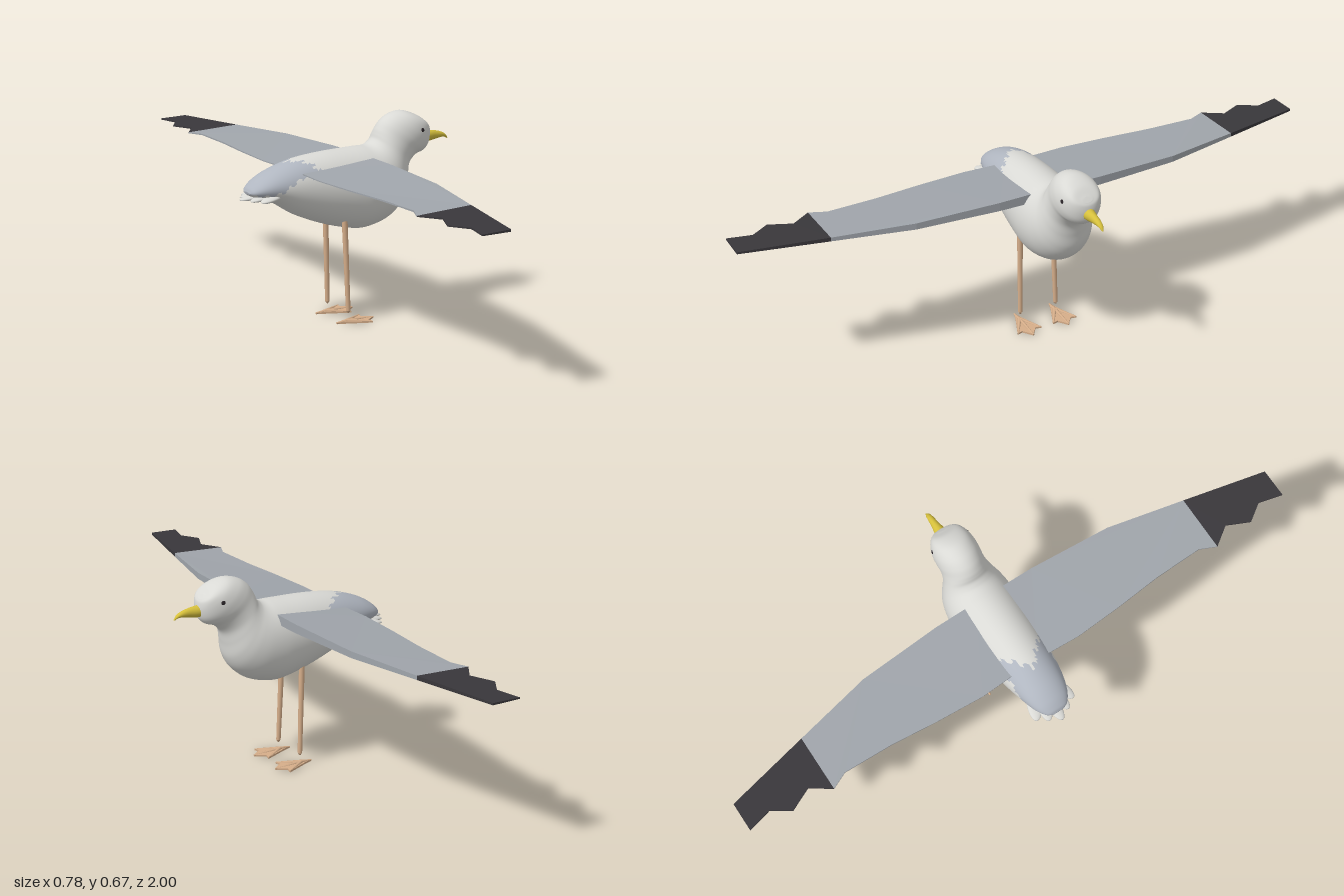
import * as THREE from 'three';

const mat = (name, color) => {
  const m = new THREE.MeshStandardMaterial({ color });
  m.name = name;
  return m;
};

// Smooth loft through rings [topX, topY, bottomX, bottomY, halfWidth].
// pick(x, y, z) gives the material index of each face.
function loft(rings, steps, sides, pick = () => 0) {
  const curve = f => new THREE.CatmullRomCurve3(rings.map(f), false, 'catmullrom', 0.5);
  const tops = curve(r => new THREE.Vector3(r[0], r[1], r[4]));
  const bottoms = curve(r => new THREE.Vector3(r[2], r[3], 0));
  const pos = [], lists = [[], []];
  for (let i = 0; i <= steps; i++) {
    const t = tops.getPoint(i / steps), b = bottoms.getPoint(i / steps);
    for (let j = 0; j < sides; j++) {
      const a = (j / sides) * Math.PI * 2, k = (1 + Math.cos(a)) / 2;
      pos.push(b.x + (t.x - b.x) * k, b.y + (t.y - b.y) * k, t.z * Math.sin(a));
    }
  }
  const face = (...v) => {
    const c = [0, 1, 2].map(n => v.reduce((s, q) => s + pos[q * 3 + n], 0) / 3);
    lists[pick(...c)].push(...v);
  };
  for (let i = 0; i < steps; i++) for (let j = 0; j < sides; j++) {
    const a = i * sides + j, b = i * sides + (j + 1) % sides;
    face(a, b, a + sides);
    face(b, b + sides, a + sides);
  }
  // end caps
  const last = steps * sides;
  for (let j = 1; j < sides - 1; j++) {
    face(0, j + 1, j);
    face(last, last + j, last + j + 1);
  }
  const g = new THREE.BufferGeometry();
  g.setAttribute('position', new THREE.Float32BufferAttribute(pos, 3));
  g.setIndex([...lists[0], ...lists[1]]);
  g.addGroup(0, lists[0].length, 0);
  g.addGroup(lists[0].length, lists[1].length, 1);
  g.computeVertexNormals();
  return g;
}

// Plate from an outline of [x, z], with top and bottom heights given by rules.
function plate(outline, top, bottom) {
  const shape = new THREE.Shape(outline.map(([x, z]) => new THREE.Vector2(x, -z)));
  const g = new THREE.ExtrudeGeometry(shape, { depth: 1, bevelEnabled: false });
  g.rotateX(-Math.PI / 2);
  const p = g.attributes.position;
  for (let i = 0; i < p.count; i++) {
    const rule = p.getY(i) > 0.5 ? top : bottom;
    p.setY(i, rule(p.getX(i), p.getZ(i)));
  }
  g.computeVertexNormals();
  return g;
}

// Tapered rod between two points.
function rod(a, b, ra, rb, sides = 12) {
  const dir = b.clone().sub(a);
  const g = new THREE.CylinderGeometry(rb, ra, dir.length(), sides);
  g.applyQuaternion(new THREE.Quaternion().setFromUnitVectors(new THREE.Vector3(0, 1, 0), dir.normalize()));
  return g.translate((a.x + b.x) / 2, (a.y + b.y) / 2, (a.z + b.z) / 2);
}

export function createModel() {
  const model = new THREE.Group();
  model.name = 'seabird';
  const white = mat('whitePlumage', 0xd9d9d5), mantle = mat('mantleGrey', 0xb0b6c0);
  const wingGrey = mat('wingGrey', 0xa0a5ab), tipDark = mat('wingTipDark', 0x39373b);
  const yellow = mat('beakYellow', 0xd6c03c), tan = mat('legTan', 0xd6ae8a);
  const rim = mat('eyeRim', 0xc8976a), dark = mat('pupilDark', 0x2a2428);
  const add = (name, geo, material, parent = model) => {
    const m = new THREE.Mesh(geo, material);
    m.name = name;
    parent.add(m);
    return m;
  };
  const V = (x, y, z) => new THREE.Vector3(x, y, z);

  // Body, neck and head in one skin, with a ragged grey saddle at the rear
  const saddle = (x, y, z) => {
    const front = -0.225 + Math.abs(z) * 1.1 + 0.012 * Math.sin(z * 260);
    const low = 0.452 + 0.05 * THREE.MathUtils.smoothstep(x, -0.31, -0.2) + 0.006 * Math.sin(x * 190);
    return x < front && y > low ? 1 : 0;
  };
  add('body', loft([
    [-0.367, 0.463, -0.366, 0.455, 0.02],
    [-0.358, 0.477, -0.352, 0.445, 0.04],
    [-0.33, 0.5, -0.32, 0.433, 0.06],
    [-0.28, 0.525, -0.27, 0.413, 0.076],
    [-0.2, 0.549, -0.2, 0.37, 0.09],
    [-0.1, 0.561, -0.1, 0.329, 0.103],
    [0, 0.565, 0, 0.302, 0.112],
    [0.04, 0.566, 0.06, 0.299, 0.114],
    [0.065, 0.566, 0.13, 0.319, 0.111],
    [0.08, 0.569, 0.18, 0.357, 0.103],
    [0.09, 0.575, 0.205, 0.4, 0.093],
    [0.1, 0.585, 0.213, 0.45, 0.083],
    [0.106, 0.6, 0.222, 0.49, 0.075],
    [0.114, 0.617, 0.248, 0.517, 0.071],
    [0.132, 0.64, 0.28, 0.529, 0.072],
    [0.162, 0.659, 0.298, 0.547, 0.07],
    [0.205, 0.667, 0.305, 0.575, 0.061],
    [0.252, 0.652, 0.303, 0.6, 0.045],
    [0.284, 0.626, 0.297, 0.612, 0.016],
  ], 144, 64, saddle), [white, mantle]);

  // Hooked beak
  add('beak', loft([
    [0.29, 0.594, 0.29, 0.552, 0.021],
    [0.31, 0.591, 0.31, 0.554, 0.018],
    [0.335, 0.588, 0.335, 0.558, 0.013],
    [0.362, 0.581, 0.36, 0.562, 0.01],
    [0.379, 0.571, 0.375, 0.562, 0.007],
    [0.389, 0.558, 0.386, 0.556, 0.002],
  ], 30, 20), [yellow, yellow]);

  // Tail fan of flattened feathers
  const tail = new THREE.Group();
  tail.name = 'tail';
  model.add(tail);
  for (const k of [-2, -1, 0, 1, 2]) {
    const g = new THREE.SphereGeometry(1, 24, 12);
    g.scale(0.075 - 0.006 * Math.abs(k), 0.009, 0.024).rotateZ(0.12).rotateY(k * 0.22);
    g.translate(-0.317 + 0.012 * Math.abs(k), 0.447 - 0.001 * Math.abs(k), k * 0.022);
    add('tailFeather', g, white, tail);
  }

  // Wing outlines: grey inner part and notched dark tip
  const inner = [[0.055, 0.03], [0.055, 0.18], [0.038, 0.46], [-0.017, 0.72], [-0.205, 0.72],
    [-0.18, 0.665], [-0.185, 0.5], [-0.2, 0.34], [-0.21, 0.18], [-0.203, 0.03]];
  const tip = [[-0.017, 0.72], [-0.078, 1], [-0.175, 1], [-0.155, 0.92], [-0.195, 0.86],
    [-0.16, 0.785], [-0.205, 0.72]];
  const chord = x => (x + 0.21) / 0.265;
  const wingTop = (x, z) => 0.514 + chord(x) * (0.008 + 0.016 * (1 - Math.abs(z)));
  const wingBottom = (x, z) => 0.511 - chord(x) * 0.006 * (1 - Math.abs(z));

  for (const s of [1, -1]) {
    const side = s > 0 ? 'left' : 'right';
    const mirror = pts => pts.map(([x, z]) => [x, z * s]);
    const wing = new THREE.Group();
    wing.name = side + 'Wing';
    model.add(wing);
    add('innerWing', plate(mirror(inner), wingTop, wingBottom), wingGrey, wing);
    add('wingTip', plate(mirror(tip), wingTop, wingBottom), tipDark, wing);

    // Eye: rim with a pupil, facing out from the head
    const eye = new THREE.Group();
    eye.name = side + 'Eye';
    eye.position.set(0.247, 0.607, 0.06 * s);
    eye.quaternion.setFromUnitVectors(V(0, 0, 1), V(4.6, 2.4, 12.4 * s).normalize());
    model.add(eye);
    add('eyeRim', new THREE.SphereGeometry(0.0135, 24, 16).scale(1, 1, 0.45), rim, eye);
    add('pupil', new THREE.SphereGeometry(0.0085, 20, 12).scale(1, 1, 0.5), dark, eye).position.z = 0.0035;

    // Leg with a pointed lower end
    const leg = new THREE.Group();
    leg.name = side + 'Leg';
    model.add(leg);
    const ankle = V(-0.035, 0.043, 0.066 * s);
    add('shank', rod(ankle, V(-0.045, 0.345, 0.06 * s), 0.0075, 0.0095), tan, leg);
    add('ankle', rod(V(-0.035, 0.035, 0.066 * s), ankle, 0.003, 0.0075), tan, leg);

    // Webbed foot: thin web with raised toes
    const foot = new THREE.Group();
    foot.name = side + 'Foot';
    foot.position.set(-0.035, 0, 0.066 * s);
    model.add(foot);
    const web = [[-0.043, 0], [-0.01, 0.012], [0.066, 0.044], [0.062, 0.024], [0.095, 0],
      [0.062, -0.024], [0.066, -0.044], [-0.01, -0.012]];
    add('web', plate(web, () => 0.009, () => 0.003), tan, foot);
    for (const [x, z] of [[0.066, 0.042], [0.095, 0], [0.066, -0.042], [-0.044, 0]])
      add('toe', rod(V(-0.005, 0.009, 0), V(x, 0.007, z), 0.007, 0.003, 8), tan, foot);
  }
  return model;
}
